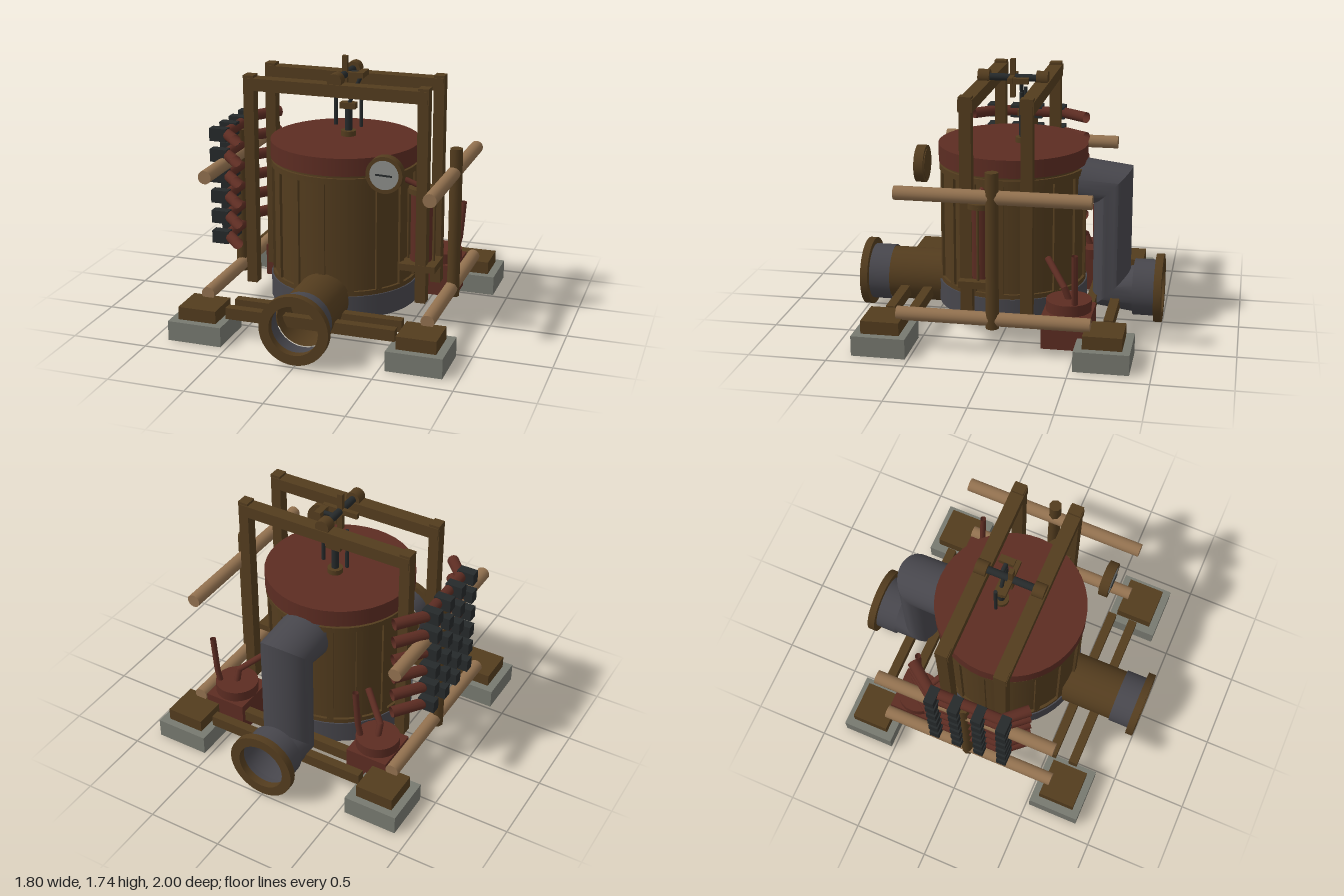
import * as THREE from 'three';
import { toCreasedNormals } from 'three/addons/utils/BufferGeometryUtils.js';

const mat = (name, color, side = THREE.DoubleSide) =>
  Object.assign(new THREE.MeshStandardMaterial({ color, side }), { name });

// Polyline whose tube rings sit exactly on the corners, giving sharp mitred bends
class MitrePath extends THREE.Curve {
  constructor(points) {
    super();
    this.pts = points.map((p) => new THREE.Vector3(...p));
  }
  getPoint(t) {
    const s = t * (this.pts.length - 1);
    const i = Math.min(Math.floor(s + 1e-6), this.pts.length - 2);
    return this.pts[i].clone().lerp(this.pts[i + 1], s - i);
  }
  getPointAt(t) { return this.getPoint(t); }
  getTangentAt(t) {
    const n = this.pts.length - 1, i = Math.round(t * n), d = new THREE.Vector3();
    for (const k of [i - 1, i]) {
      if (k >= 0 && k < n) d.add(this.pts[k + 1].clone().sub(this.pts[k]).normalize());
    }
    return d.normalize();
  }
}

export function createModel() {
  const model = new THREE.Group();
  const wood = mat('dark wood', 0x533c1e);
  const red = mat('rust red', 0x5c2c22);
  const grey = mat('iron grey', 0x47464c);
  const black = mat('black iron', 0x25292a);
  const stone = mat('concrete', 0x777970, THREE.FrontSide);
  const tan = mat('pale log', 0x92714f, THREE.FrontSide);
  const white = mat('dial grey', 0x8c8e8a, THREE.FrontSide);

  const add = (name, geo, m, x = 0, y = 0, z = 0) => {
    const mesh = new THREE.Mesh(geo, m);
    mesh.name = name;
    mesh.position.set(x, y, z);
    model.add(mesh);
    return mesh;
  };
  const box = (name, m, w, h, d, x, y, z) => add(name, new THREE.BoxGeometry(w, h, d), m, x, y, z);
  const cyl = (name, m, r, h, x, y, z, axis = 'y', seg = 24, open = false) => {
    const g = new THREE.CylinderGeometry(r, r, h, seg, 1, open);
    if (axis === 'z') g.rotateX(Math.PI / 2);
    if (axis === 'x') g.rotateZ(Math.PI / 2);
    return add(name, g, m, x, y, z);
  };
  const pipe = (name, m, r, points, seg = 12) => {
    const g = new THREE.TubeGeometry(new MitrePath(points), points.length - 1, r, seg, false);
    return add(name, toCreasedNormals(g, 0.6), m);
  };
  // Square-section ring turned around the z axis
  const ring = (name, m, r0, r1, depth, x, y, z) => {
    const h = depth / 2;
    const prof = [[r0, -h], [r1, -h], [r1, h], [r0, h], [r0, -h]].map((p) => new THREE.Vector2(...p));
    const g = toCreasedNormals(new THREE.LatheGeometry(prof, 40), 0.6);
    return add(name, g.rotateX(Math.PI / 2), m, x, y, z);
  };

  // Feet with wooden pads
  for (const sx of [-1, 1]) for (const sz of [-1, 1]) {
    box('foot', stone, 0.36, 0.13, 0.345, sx * 0.72, 0.07, sz * 0.695);
    box('footPad', wood, 0.255, 0.085, 0.245, sx * 0.72, 0.177, sz * 0.695);
  }
  // Cross beams between the feet
  for (const z of [-0.7, -0.547, 0.547, 0.7]) box('crossBeam', wood, 1.12, 0.075, 0.06, 0, 0.178, z);

  // Barrel with ribs, hoops and lid
  cyl('barrelBase', grey, 0.492, 0.15, 0, 0.205, 0, 'y', 40);
  cyl('barrelBody', wood, 0.465, 0.8, 0, 0.68, 0, 'y', 40);
  for (let i = 0; i < 16; i++) {
    const a = (i * Math.PI) / 8;
    box('barrelRib', wood, 0.04, 0.76, 0.03, Math.sin(a) * 0.466, 0.67, Math.cos(a) * 0.466).rotation.y = a;
  }
  cyl('upperHoop', wood, 0.483, 0.038, 0, 1.043, 0, 'y', 40);
  cyl('lowerHoop', wood, 0.483, 0.03, 0, 0.295, 0, 'y', 40);
  cyl('lid', red, 0.488, 0.115, 0, 1.138, 0, 'y', 40);

  // Front and back pipes with flanges
  for (const s of [-1, 1]) {
    ring('pipeFlange', wood, 0.16, 0.225, 0.05, 0, 0.245, s * 0.975);
    cyl('pipeSleeve', grey, 0.185, 0.14, 0, 0.245, s * 0.88, 'z', 32, true);
  }
  cyl('frontPipe', wood, 0.175, 0.4, 0, 0.245, 0.615, 'z', 32, true);
  pipe('backPipe', grey, 0.175,
    [[0, 0.94, -0.4], [0, 0.94, -0.66], [0, 0.245, -0.66], [0, 0.245, -0.9]], 32);

  // Two arched frames
  for (const z of [-0.19, 0.19]) {
    for (const s of [-1, 1]) {
      box('framePost', wood, 0.07, 1.4, 0.075, s * 0.58, 0.9, z);
      box('frameCap', wood, 0.07, 0.02, 0.08, s * 0.58, 1.605, z);
    }
    box('frameBeam', wood, 1.22, 0.08, 0.09, 0, 1.558, z);
    cyl('axleBearing', wood, 0.048, 0.075, 0, 1.618, z, 'z', 20);
  }

  // Axle, cross handle and crank linkage
  cyl('axle', black, 0.024, 0.4, 0, 1.618, 0, 'z', 16);
  box('handleBar', wood, 0.036, 0.25, 0.03, 0, 1.615, 0.003);
  box('handleBar', wood, 0.25, 0.036, 0.03, 0, 1.617, 0.003);
  cyl('crankPin', black, 0.014, 0.1, 0.05, 1.617, -0.065, 'x');
  box('crankBlock', wood, 0.045, 0.036, 0.1, 0.1, 1.617, -0.065);
  pipe('crankRod', black, 0.013, [[0, 1.4, -0.065], [0.09, 1.61, -0.065]]);
  cyl('pistonCollar', wood, 0.05, 0.04, 0, 1.21, -0.065);
  cyl('pistonRod', black, 0.024, 0.18, 0, 1.3, -0.065, 'y', 16);
  box('pistonBlock', wood, 0.105, 0.04, 0.06, 0, 1.397, -0.065);
  for (const s of [-1, 1]) cyl('guideRod', black, 0.012, 0.28, s * 0.087, 1.4, -0.065, 'y', 10);

  // Dial gauge
  cyl('gaugeCase', wood, 0.095, 0.05, 0.424, 1.137, 0.495, 'z', 32);
  ring('gaugeRim', wood, 0.093, 0.117, 0.06, 0.424, 1.137, 0.505);
  cyl('gaugeFace', white, 0.094, 0.008, 0.424, 1.137, 0.53, 'z', 32);
  box('gaugeNeedle', black, 0.105, 0.01, 0.008, 0.424, 1.137, 0.541).rotation.z = -0.04;

  // Side logs and uprights
  for (const s of [-1, 1]) {
    cyl('sideUpright', wood, 0.042, 1.0, s * 0.743, 0.69, 0, 'y', 8);
    for (const y of [0.245, 1.03]) cyl('sideLog', tan, 0.044, 1.22, s * 0.733, y, 0, 'z', 20);
  }

  // Stack of coil pipes with clamps
  for (let i = 0; i < 6; i++) {
    const y = 0.525 + i * 0.14;
    pipe('coilPipe', red, 0.037,
      [[-0.61, y, 0.39], [-0.735, y, 0.25], [-0.735, y, -0.23], [-0.61, y, -0.4]], 16);
    for (const z of [-0.2, -0.042, 0.115, 0.28]) box('coilClamp', black, 0.115, 0.085, 0.065, -0.767, y, z);
  }

  // Side cylinder on its bracket
  cyl('sideCylinder', red, 0.07, 0.47, 0.552, 0.685, 0.11);
  cyl('sideCylinderCap', wood, 0.09, 0.035, 0.555, 0.93, 0.11);
  box('sideBracket', wood, 0.24, 0.045, 0.21, 0.555, 0.435, 0.125);
  for (const x of [0.465, 0.637]) cyl('bracketRod', wood, 0.009, 0.48, x, 0.69, 0.11, 'y', 8);
  pipe('sideFeedPipe', red, 0.018, [[0.56, 0.945, 0.11], [0.43, 0.995, 0.12]]);

  // Back pumps with outlet and feed pipes
  for (const s of [-1, 1]) {
    const x = s * 0.543;
    box('pumpBox', red, 0.285, 0.22, 0.31, x, 0.16, -0.45);
    cyl('pumpDrum', red, 0.143, 0.075, x, 0.303, -0.45, 'y', 32);
    pipe('pumpOutlet', red, 0.02, [[x + 0.1, 0.33, -0.5], [x + 0.12, 0.42, -0.5], [x + 0.14, 0.67, -0.5]]);
    pipe('pumpFeed', red, 0.022, [[x, 0.33, -0.45], [x, 0.41, -0.42], [s * 0.38, 0.54, -0.29]]);
  }
  return model;
}
